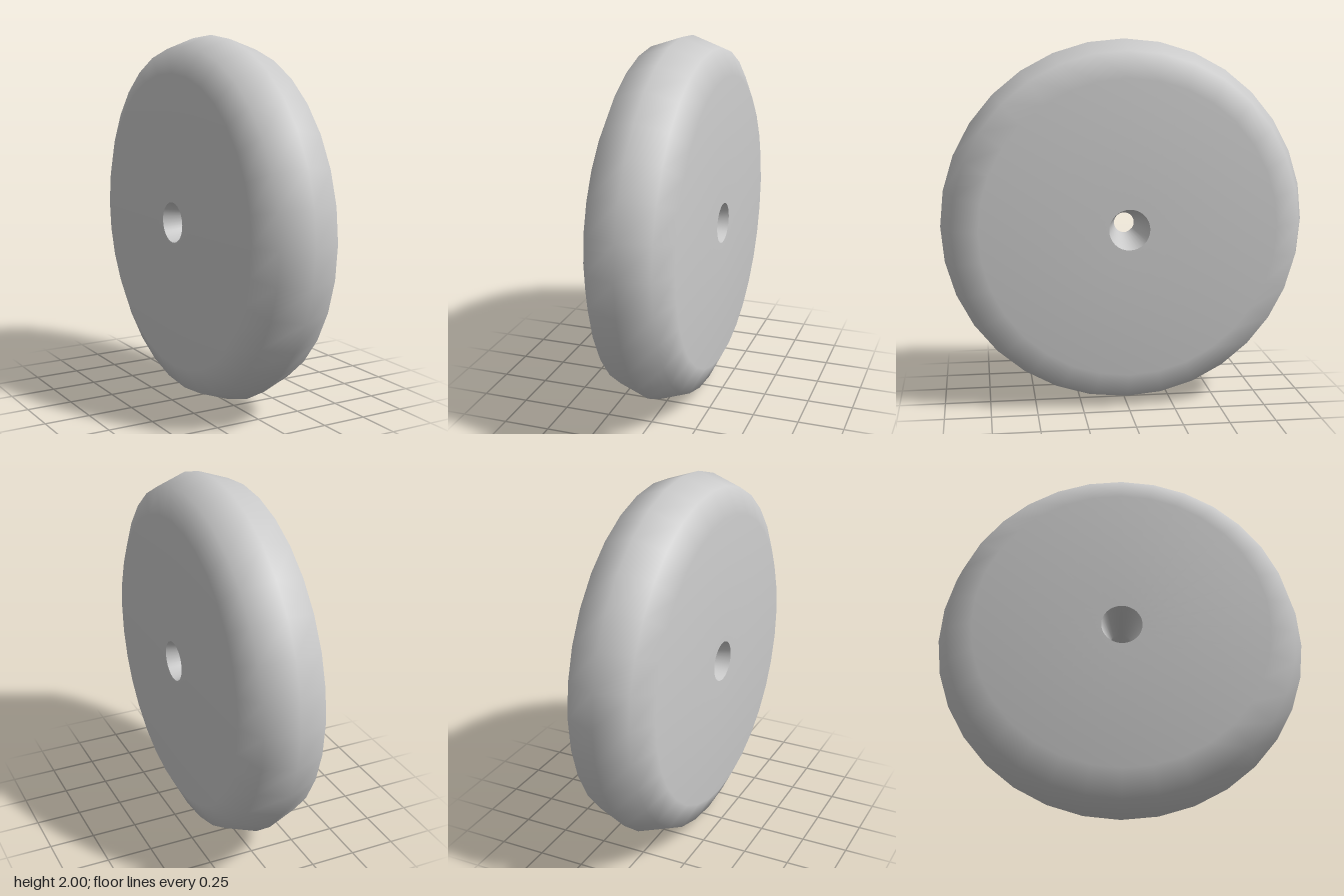
import * as THREE from 'three';

const SEGMENTS = 32;
const HALF_WIDTH = 0.24;
const FACE_RADIUS = 0.8;
const ROUNDING = 0.2;
const HOLE_RADIUS = 0.11;
const WAIST_RADIUS = 0.055;

// Turn a profile of [radius, offset along axle] points around the x axis
function turned(name, profile, material) {
  const points = profile.map(([r, a]) => new THREE.Vector2(r, a));
  const geometry = new THREE.LatheGeometry(points, SEGMENTS);
  geometry.rotateZ(-Math.PI / 2);
  const mesh = new THREE.Mesh(geometry, material);
  mesh.name = name;
  return mesh;
}

export function createModel() {
  const material = new THREE.MeshStandardMaterial({ color: 0xcccccc });
  const wheel = new THREE.Group();
  wheel.name = 'wheel';

  // Flat side faces joined by a rounded tread in 45 degree steps
  const shell = [[HOLE_RADIUS, -HALF_WIDTH]];
  for (let i = -2; i <= 2; i++) {
    const t = (i * Math.PI) / 4;
    shell.push([FACE_RADIUS + ROUNDING * Math.cos(t), HALF_WIDTH * Math.sin(t)]);
  }
  shell.push([HOLE_RADIUS, HALF_WIDTH]);

  // Axle hole narrowing to a waist in the middle, facing inward
  const bore = [
    [HOLE_RADIUS, HALF_WIDTH],
    [WAIST_RADIUS, 0],
    [HOLE_RADIUS, -HALF_WIDTH],
  ];

  wheel.add(turned('tyre', shell, material), turned('axleHole', bore, material));
  wheel.position.y = 1;

  const model = new THREE.Group();
  model.name = 'wheelModel';
  model.add(wheel);
  return model;
}
